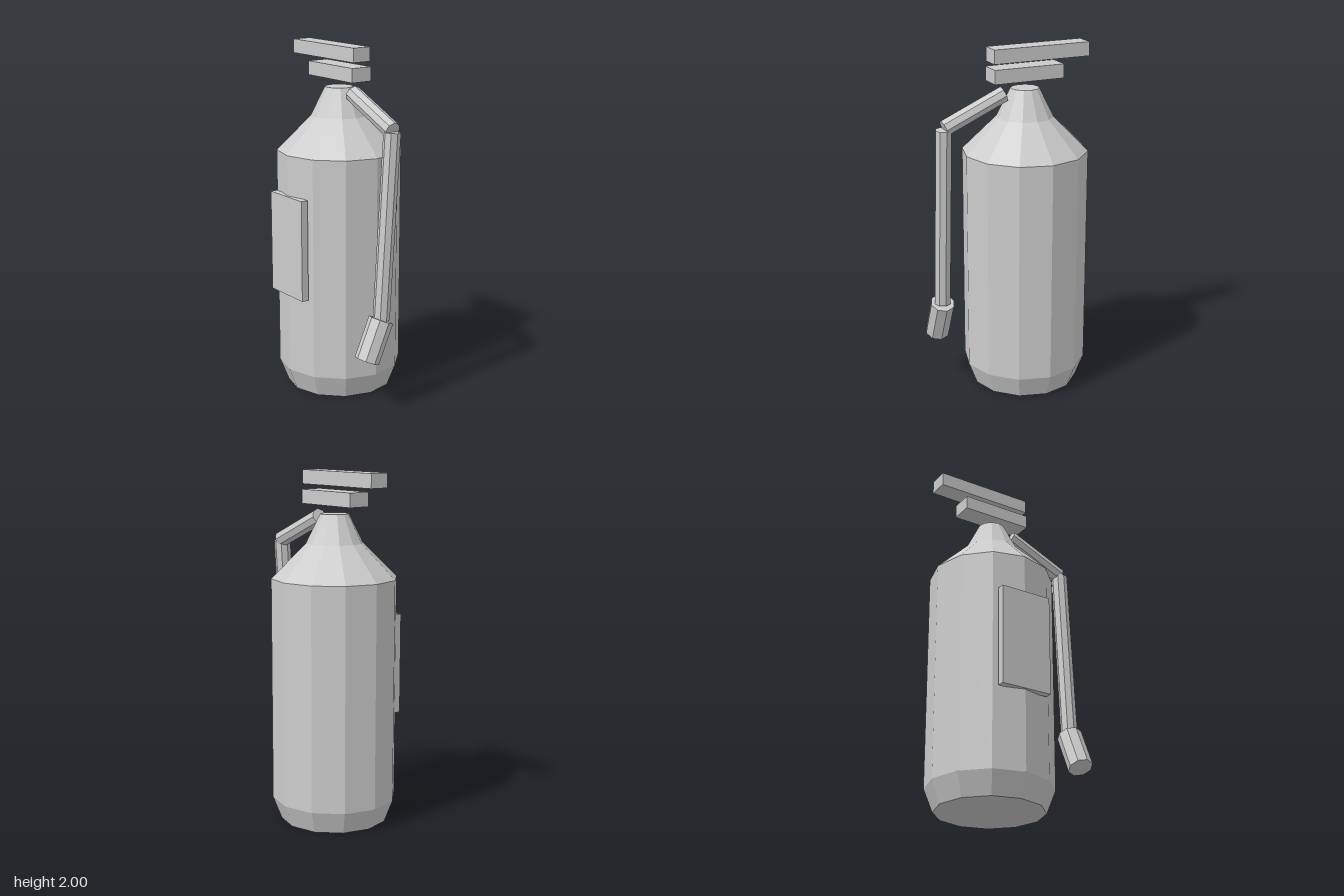
import * as THREE from 'three';
import { mergeVertices } from 'three/addons/utils/BufferGeometryUtils.js';

export function createModel() {
  const model = new THREE.Group();
  model.name = 'fireExtinguisher';
  const grey = new THREE.MeshStandardMaterial({ color: 0xcccccc });
  grey.name = 'plain grey';
  grey.flatShading = true;

  const add = (name, geometry) => {
    const mesh = new THREE.Mesh(geometry, grey);
    mesh.name = name;
    model.add(mesh);
    return mesh;
  };

  // box given by its limits on each axis
  const box = (name, [x0, x1], [y0, y1], [z0, z1]) =>
    add(name, new THREE.BoxGeometry(x1 - x0, y1 - y0, z1 - z0))
      .position.set((x0 + x1) / 2, (y0 + y1) / 2, (z0 + z1) / 2);

  // eight-sided rod between two points
  const rod = (name, from, to, radius) => {
    const a = new THREE.Vector3(...from);
    const b = new THREE.Vector3(...to);
    const dir = b.clone().sub(a);
    const mesh = add(name, new THREE.CylinderGeometry(radius, radius, dir.length(), 8));
    mesh.position.copy(a).add(b).multiplyScalar(0.5);
    mesh.quaternion.setFromUnitVectors(new THREE.Vector3(0, -1, 0), dir.normalize());
    mesh.quaternion.normalize();
  };

  // twelve-sided tank with chamfered foot, sloping shoulder and neck
  const profile = [[0, 0], [0.308, 0], [0.358, 0.13], [0.358, 1.405], [0.162, 1.6], [0.081, 1.763], [0, 1.763]]
    .map(([r, y]) => new THREE.Vector2(r, y));
  const tank = add('tank', mergeVertices(new THREE.LatheGeometry(profile, 12)));
  tank.position.set(-0.095, 0, -0.007);

  // squeeze levers above the neck
  box('lowerLever', [-0.305, 0.117], [1.81, 1.89], [-0.072, 0.058]);
  box('upperLever', [-0.467, 0.117], [1.92, 2], [-0.065, 0.05]);

  // label plate on the front
  box('labelPlate', [-0.248, 0.06], [0.593, 1.175], [0.322, 0.364]);

  // hose and nozzle on the model's left
  rod('upperHose', [0.037, 1.738, -0.007], [0.393, 1.581, -0.007], 0.048);
  rod('lowerHose', [0.395, 1.572, -0.003], [0.395, 0.52, 0.062], 0.048);
  rod('nozzle', [0.395, 0.52, 0.063], [0.395, 0.298, 0.161], 0.071);

  return model;
}
